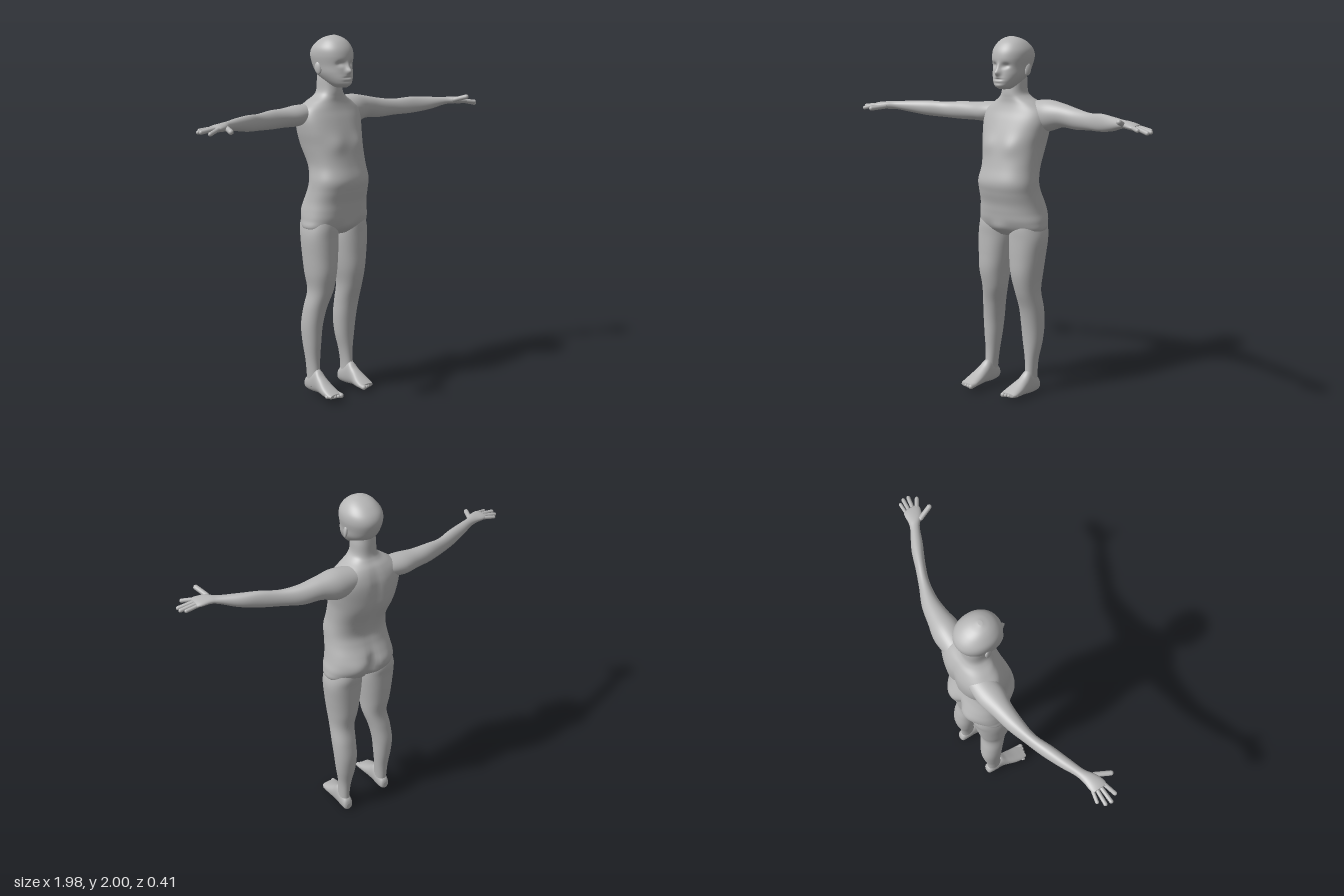
import * as THREE from 'three';

const skin = new THREE.MeshStandardMaterial({ color: 0xb6b6b6 });
skin.name = 'matte grey';

const cubic = (a, b, c, d, t) =>
  b + 0.5 * t * (c - a + t * (2 * a - 5 * b + 4 * c - d + t * (3 * (b - c) + d - a)));

// Smooth loft of rounded sections [t, u0, u1, v0, v1] along an axis.
// (u, v) is (y, z) along x, (z, x) along y and (x, y) along z.
function loft(axis, sections, { steps = 6, sides = 40, power = 2.2 } = {}) {
  const rows = [...sections].sort((a, b) => a[0] - b[0]);
  const rings = [];
  const at = (i) => rows[Math.max(0, Math.min(rows.length - 1, i))];
  for (let i = 0; i < rows.length - 1; i++) {
    for (let k = 0; k < steps; k++) {
      rings.push(rows[i].map((v, c) => cubic(at(i - 1)[c], v, at(i + 1)[c], at(i + 2)[c], k / steps)));
    }
  }
  rings.push(rows[rows.length - 1]);
  const pos = [], index = [];
  const put = (t, u, v) => {
    const p = [0, 0, 0];
    p[axis] = t;
    p[(axis + 1) % 3] = u;
    p[(axis + 2) % 3] = v;
    pos.push(...p);
  };
  const round = (c) => Math.sign(c) * Math.abs(c) ** (2 / power);
  for (const [t, u0, u1, v0, v1] of rings) {
    for (let j = 0; j < sides; j++) {
      const a = (j / sides) * Math.PI * 2;
      put(t, (u0 + u1) / 2 + round(Math.cos(a)) * (u1 - u0) / 2,
        (v0 + v1) / 2 + round(Math.sin(a)) * (v1 - v0) / 2);
    }
  }
  for (let i = 0; i < rings.length - 1; i++) {
    for (let j = 0; j < sides; j++) {
      const a = i * sides + j, b = i * sides + (j + 1) % sides;
      index.push(a, b, b + sides, a, b + sides, a + sides);
    }
  }
  // end caps
  const n = rings.length * sides;
  for (const r of [rings[0], rings[rings.length - 1]]) put(r[0], (r[1] + r[2]) / 2, (r[3] + r[4]) / 2);
  for (let j = 0; j < sides; j++) {
    const k = (j + 1) % sides;
    index.push(n, k, j, n + 1, n - sides + j, n - sides + k);
  }
  const g = new THREE.BufferGeometry();
  g.setAttribute('position', new THREE.Float32BufferAttribute(pos, 3));
  g.setIndex(index);
  g.computeVertexNormals();
  return g;
}

// Soft push along z around a centre: [x, y, z, sx, sy, sz, amount]
function sculpt(g, bumps) {
  const p = g.attributes.position;
  for (let i = 0; i < p.count; i++) {
    let dz = 0;
    for (const [x, y, z, sx, sy, sz, amount] of bumps) {
      const d = ((p.getX(i) - x) / sx) ** 2 + ((p.getY(i) - y) / sy) ** 2 + ((p.getZ(i) - z) / sz) ** 2;
      dz += amount * Math.exp(-d);
    }
    p.setZ(i, p.getZ(i) + dz);
  }
  g.computeVertexNormals();
  return g;
}

export function createModel() {
  const model = new THREE.Group();
  model.name = 'standingFigure';
  const add = (name, geometry) => {
    const m = new THREE.Mesh(geometry, skin);
    m.name = name;
    model.add(m);
    return m;
  };
  // Rounded digit between two points
  const digit = (name, from, to, r) => {
    const a = new THREE.Vector3(...from), b = new THREE.Vector3(...to);
    const dir = b.clone().sub(a);
    const m = add(name, new THREE.CapsuleGeometry(r, Math.max(0.001, dir.length() - r), 6, 12));
    m.position.copy(a).addScaledVector(dir, 0.5);
    m.quaternion.setFromUnitVectors(new THREE.Vector3(0, 1, 0), dir.normalize());
  };

  // Torso and neck
  add('torso', sculpt(loft(1, [
    [0.915, -0.09, 0.03, -0.1, 0.12], [0.95, -0.14, 0.065, -0.19, 0.215],
    [1.0, -0.172, 0.09, -0.19, 0.222], [1.05, -0.182, 0.1, -0.182, 0.21],
    [1.1, -0.17, 0.108, -0.172, 0.2], [1.16, -0.145, 0.125, -0.166, 0.19],
    [1.22, -0.132, 0.135, -0.163, 0.186], [1.3, -0.152, 0.114, -0.153, 0.18],
    [1.4, -0.195, 0.09, -0.17, 0.185], [1.48, -0.207, 0.068, -0.188, 0.2],
    [1.55, -0.206, 0.042, -0.195, 0.212], [1.6, -0.194, 0.02, -0.18, 0.2],
    [1.64, -0.175, 0.008, -0.13, 0.15], [1.67, -0.15, 0.006, -0.085, 0.096],
    [1.7, -0.137, 0.006, -0.065, 0.07], [1.76, -0.134, 0, -0.06, 0.066],
    [1.81, -0.13, 0, -0.055, 0.06]], { sides: 64, power: 2.35 }), [
    [0.01, 1.0, -0.18, 0.022, 0.08, 0.08, 0.05],   // cleft
    [-0.08, 1.03, -0.18, 0.06, 0.06, 0.08, -0.015], // buttocks
    [0.1, 1.03, -0.18, 0.06, 0.06, 0.08, -0.015],
    [0.005, 1.4, -0.2, 0.025, 0.2, 0.06, 0.016],   // spine
    [-0.08, 1.42, 0.09, 0.06, 0.05, 0.06, 0.012],  // chest
    [0.09, 1.42, 0.09, 0.06, 0.05, 0.06, 0.012],
    [0.01, 0.96, 0.08, 0.05, 0.035, 0.06, 0.014]]));

  // Head, with face shaping
  add('head', sculpt(loft(1, [
    [1.722, -0.01, 0.06, -0.025, 0.035], [1.738, -0.05, 0.085, -0.046, 0.054],
    [1.765, -0.1, 0.09, -0.066, 0.074], [1.8, -0.14, 0.083, -0.083, 0.092],
    [1.84, -0.164, 0.077, -0.091, 0.1], [1.89, -0.177, 0.078, -0.1, 0.11],
    [1.93, -0.165, 0.068, -0.096, 0.106], [1.965, -0.13, 0.043, -0.074, 0.084],
    [1.988, -0.088, 0.01, -0.046, 0.054], [2.0, -0.045, -0.025, -0.01, 0.018]],
  { sides: 96, steps: 10, power: 2.1 }), [
    [0.003, 1.812, 0.085, 0.015, 0.018, 0.05, 0.026], // nose
    [0.003, 1.84, 0.08, 0.01, 0.02, 0.05, 0.012],
    [-0.035, 1.85, 0.07, 0.02, 0.014, 0.05, -0.014],  // eye sockets
    [0.042, 1.85, 0.07, 0.02, 0.014, 0.05, -0.014],
    [0.003, 1.776, 0.09, 0.026, 0.005, 0.05, -0.007], // mouth
    [0.003, 1.755, 0.09, 0.03, 0.007, 0.05, -0.004]]));

  for (const s of [-1, 1]) {
    const ear = add(s < 0 ? 'rightEar' : 'leftEar', new THREE.SphereGeometry(1, 20, 14));
    ear.scale.set(0.01, 0.034, 0.02);
    ear.position.set(0.004 + s * 0.097, 1.825, -0.052);
    ear.rotation.set(-0.2, s * -0.35, 0);
  }

  // Legs
  add('rightLeg', loft(1, [
    [1.05, -0.14, 0.05, -0.165, -0.04], [0.97, -0.155, 0.066, -0.19, -0.006],
    [0.9, -0.143, 0.067, -0.2, 0.002], [0.8, -0.132, 0.07, -0.195, -0.008],
    [0.7, -0.118, 0.07, -0.187, -0.022], [0.6, -0.1, 0.05, -0.174, -0.036],
    [0.5, -0.112, 0.022, -0.188, -0.064], [0.4, -0.122, 0.006, -0.195, -0.084],
    [0.3, -0.112, 0, -0.19, -0.095], [0.2, -0.093, -0.004, -0.18, -0.106],
    [0.12, -0.085, 0.004, -0.176, -0.113], [0.05, -0.08, 0.02, -0.176, -0.115]]));
  add('leftLeg', loft(1, [
    [1.05, -0.14, 0.05, 0.06, 0.185], [0.97, -0.155, 0.064, 0.025, 0.213],
    [0.9, -0.145, 0.066, 0.014, 0.225], [0.8, -0.135, 0.068, 0.02, 0.214],
    [0.7, -0.125, 0.066, 0.033, 0.2], [0.6, -0.11, 0.044, 0.054, 0.19],
    [0.5, -0.128, 0.01, 0.06, 0.194], [0.4, -0.139, -0.01, 0.061, 0.19],
    [0.3, -0.13, -0.02, 0.07, 0.18], [0.2, -0.11, -0.022, 0.09, 0.162],
    [0.12, -0.102, -0.016, 0.099, 0.157], [0.04, -0.1, 0, 0.098, 0.158]]));

  // Feet
  add('rightFoot', loft(2, [
    [-0.096, 0.04, 0.07, -0.158, -0.132], [-0.085, 0.024, 0.095, -0.172, -0.118],
    [-0.04, 0.018, 0.13, -0.178, -0.112], [0, 0.02, 0.15, -0.18, -0.112],
    [0.04, 0.022, 0.12, -0.19, -0.112], [0.09, 0.02, 0.088, -0.204, -0.112],
    [0.14, 0.02, 0.062, -0.208, -0.114], [0.165, 0.028, 0.05, -0.2, -0.122],
  ].map(([z, y0, y1, x0, x1]) => [z, x0, x1, y0, y1])));
  add('leftFoot', loft(2, [
    [-0.116, 0.02, 0.05, 0.113, 0.142], [-0.104, 0.004, 0.08, 0.1, 0.156],
    [-0.06, 0, 0.115, 0.096, 0.16], [-0.02, 0.002, 0.135, 0.094, 0.16],
    [0.02, 0.006, 0.105, 0.086, 0.162], [0.07, 0.008, 0.075, 0.068, 0.164],
    [0.115, 0.012, 0.052, 0.062, 0.16], [0.135, 0.02, 0.042, 0.07, 0.15],
  ].map(([z, y0, y1, x0, x1]) => [z, x0, x1, y0, y1])));
  for (let i = 0; i < 5; i++) {
    const r = i === 0 ? 0.014 : 0.0105 - i * 0.0005;
    const rx = -0.126 - i * 0.02, lx = 0.076 + i * 0.019;
    const z = 0.176 - i * i * 0.002;
    digit('rightToe', [rx, 0.042, 0.13], [rx - 0.002, 0.036, z], r);
    digit('leftToe', [lx, 0.034, 0.1], [lx + 0.002, 0.026, z - 0.032], r);
  }

  // Arms running into the palms
  add('rightArm', loft(0, [
    [-0.08, 1.54, 1.63, -0.18, -0.05], [-0.2, 1.515, 1.628, -0.182, -0.035],
    [-0.3, 1.515, 1.618, -0.157, -0.046], [-0.4, 1.514, 1.615, -0.135, -0.046],
    [-0.5, 1.518, 1.606, -0.102, -0.036], [-0.6, 1.524, 1.609, -0.07, 0.002],
    [-0.7, 1.539, 1.605, -0.03, 0.035], [-0.78, 1.552, 1.599, 0.008, 0.062],
    [-0.83, 1.553, 1.597, 0.022, 0.096], [-0.88, 1.555, 1.592, 0.026, 0.116],
    [-0.905, 1.56, 1.586, 0.032, 0.112]], { power: 2 }));
  add('leftArm', loft(0, [
    [0.08, 1.53, 1.65, -0.18, -0.05], [0.2, 1.495, 1.664, -0.188, -0.03],
    [0.3, 1.522, 1.65, -0.166, -0.044], [0.4, 1.519, 1.631, -0.14, -0.046],
    [0.5, 1.528, 1.62, -0.094, -0.03], [0.6, 1.534, 1.628, -0.053, 0.008],
    [0.7, 1.55, 1.624, -0.015, 0.056], [0.79, 1.577, 1.62, 0.036, 0.094],
    [0.83, 1.582, 1.622, 0.052, 0.132], [0.88, 1.58, 1.615, 0.058, 0.154],
    [0.905, 1.582, 1.607, 0.066, 0.15]], { power: 2 }));

  // Fingers and thumbs
  const right = [
    [[-0.89, 1.572, 0.037], [-0.955, 1.565, 0.022], 0.0095],
    [[-0.89, 1.574, 0.058], [-0.985, 1.56, 0.053], 0.0105],
    [[-0.89, 1.574, 0.08], [-0.99, 1.563, 0.084], 0.011],
    [[-0.89, 1.574, 0.102], [-0.965, 1.555, 0.126], 0.011],
    [[-0.825, 1.57, 0.085], [-0.868, 1.562, 0.172], 0.0135]];
  const left = [
    [[0.89, 1.595, 0.075], [0.965, 1.582, 0.08], 0.0095],
    [[0.89, 1.597, 0.095], [0.984, 1.577, 0.108], 0.0105],
    [[0.89, 1.597, 0.117], [0.982, 1.575, 0.139], 0.011],
    [[0.89, 1.597, 0.138], [0.945, 1.59, 0.172], 0.011],
    [[0.82, 1.605, 0.115], [0.848, 1.628, 0.196], 0.0135]];
  const names = ['LittleFinger', 'RingFinger', 'MiddleFinger', 'IndexFinger', 'Thumb'];
  names.forEach((n, i) => {
    digit('right' + n, ...right[i]);
    digit('left' + n, ...left[i]);
  });
  return model;
}
